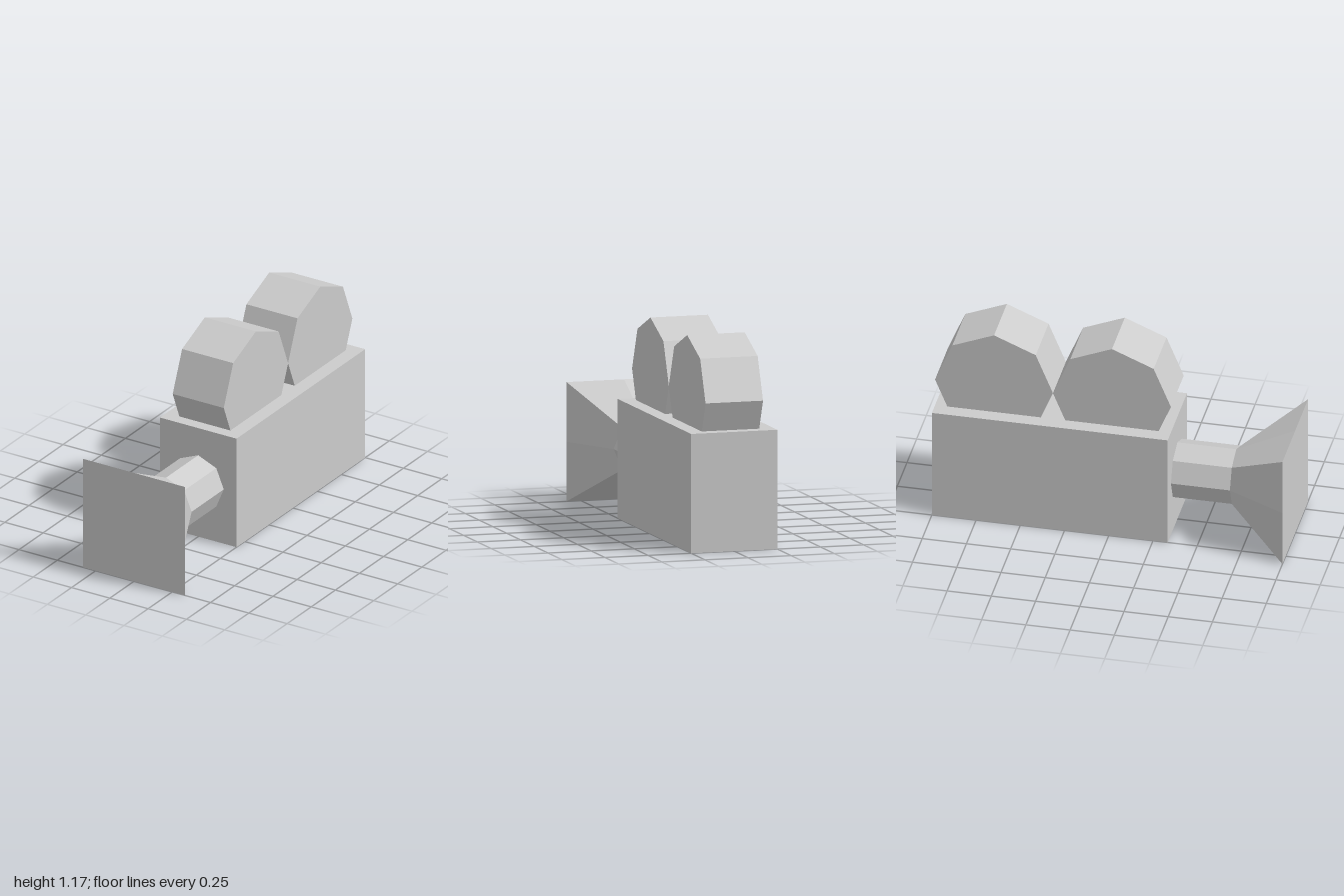
import * as THREE from 'three';

const T = 1 / 3; // basic module of the design

// Non-indexed copy with one normal per facet
function faceted(geometry) {
  const g = geometry.toNonIndexed();
  g.computeVertexNormals();
  return g;
}

// Lens hood: octagonal ring opening out to a closed square front
function hoodGeometry(r, half, z0, z1) {
  const inner = [], outer = [];
  for (let k = 0; k < 8; k++) {
    const a = k * Math.PI / 4, c = Math.cos(a), s = Math.sin(a);
    inner.push(new THREE.Vector3(r * c, r * s, z0));
    outer.push(new THREE.Vector3(half * Math.sign(Math.round(c * 2)), half * Math.sign(Math.round(s * 2)), z1));
  }
  const pos = [], nor = [];
  const tri = (n, ...pts) => pts.forEach(p => { pos.push(p.x, p.y, p.z); nor.push(n.x, n.y, n.z); });
  const front = new THREE.Vector3(0, 0, 1), back = new THREE.Vector3(0, 0, -1);
  const c0 = new THREE.Vector3(0, 0, z0), c1 = new THREE.Vector3(0, 0, z1);
  for (let k = 0; k < 8; k++) {
    const j = (k + 1) % 8, p0 = inner[k], p1 = inner[j], q0 = outer[k], q1 = outer[j];
    // each twisted side panel shares one normal
    const n = q1.clone().sub(p0).cross(q0.clone().sub(p1)).normalize();
    if (k % 2) { // fold runs from the diagonal corner to the edge midpoint
      tri(n, p0, p1, q1); tri(n, p0, q1, q0);
    } else {
      tri(n, p0, p1, q0); tri(n, p1, q1, q0);
    }
    tri(front, c1, q0, q1);
    tri(back, c0, p1, p0);
  }
  const g = new THREE.BufferGeometry();
  g.setAttribute('position', new THREE.Float32BufferAttribute(pos, 3));
  g.setAttribute('normal', new THREE.Float32BufferAttribute(nor, 3));
  return g;
}

export function createModel() {
  const group = new THREE.Group();
  group.name = 'movieCamera';
  const grey = new THREE.MeshStandardMaterial({ color: 0xcccccc });
  grey.name = 'lightGrey';

  const add = (name, geometry, x, y, z) => {
    const mesh = new THREE.Mesh(geometry, grey);
    mesh.name = name;
    mesh.position.set(x, y, z);
    group.add(mesh);
  };

  // Camera body
  add('body', new THREE.BoxGeometry(0.5, 2 * T, 4 * T), 0, T, -T);

  // Two film reels, partly sunk into the body
  const reel = faceted(new THREE.CylinderGeometry(T, T, T, 8).rotateZ(Math.PI / 2));
  add('frontReel', reel, 0, 2.5 * T, 0);
  add('rearReel', reel, 0, 2.5 * T, -2 * T);

  // Lens barrel and flared hood
  add('lensBarrel', faceted(new THREE.CylinderGeometry(T / 2, T / 2, T, 8).rotateX(Math.PI / 2)), 0, T, 1.5 * T);
  add('lensHood', hoodGeometry(T / 2, T, 2 * T, 1), 0, T, 0);

  return group;
}
